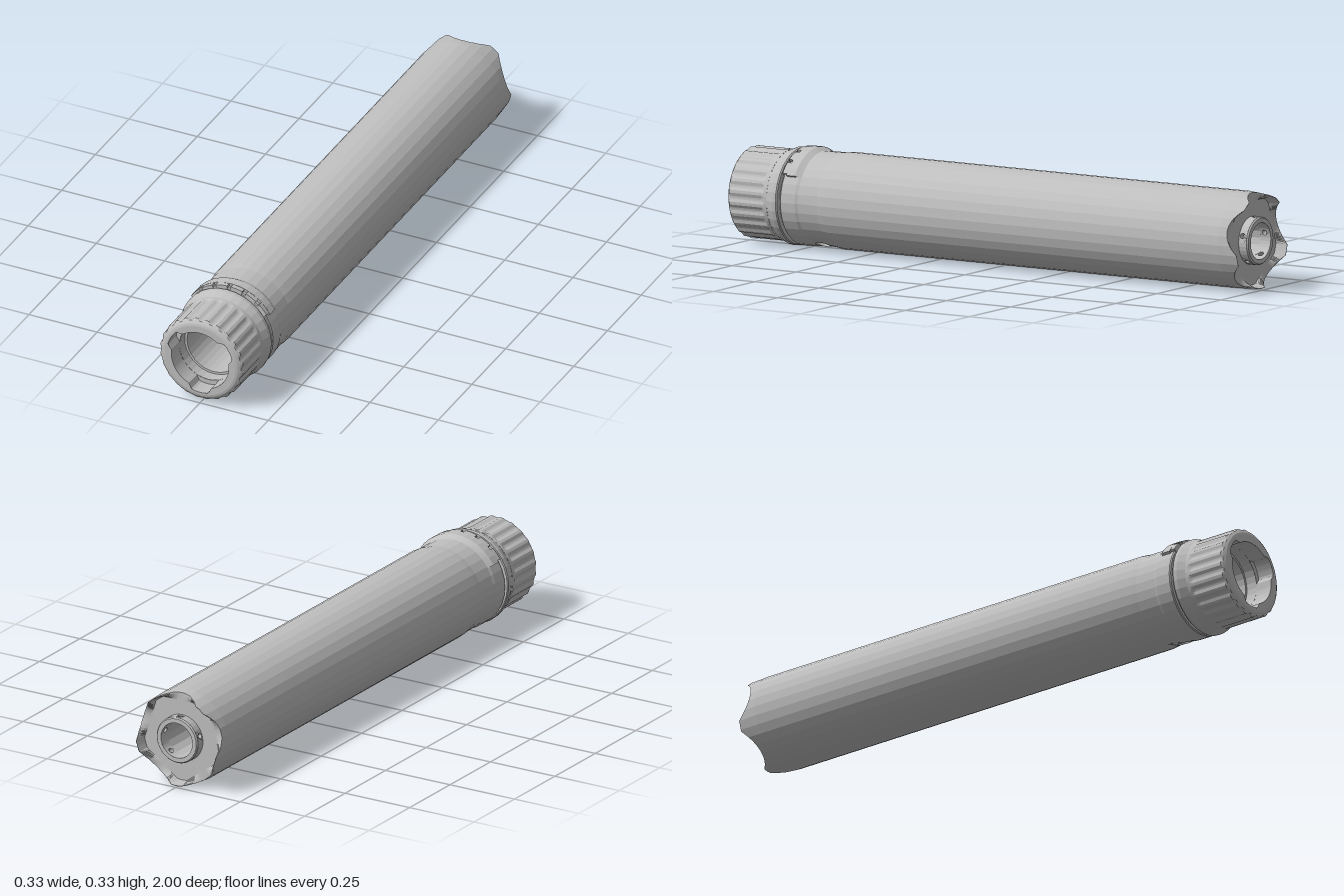
import * as THREE from 'three';
import { toCreasedNormals, mergeGeometries } from 'three/addons/utils/BufferGeometryUtils.js';

const TAU = Math.PI * 2;
const SIDES = 32;
const rad = THREE.MathUtils.degToRad;

// Loft along z from sections [z or z(angle), radius or radius(angle)].
function loft(sections, n = SIDES, start = 0, length = TAU) {
  const pos = [], idx = [];
  for (const [z, r] of sections) {
    for (let j = 0; j <= n; j++) {
      const a = start + (length * j) / n;
      const rr = typeof r === 'function' ? r(a) : r;
      pos.push(rr * Math.cos(a), rr * Math.sin(a), typeof z === 'function' ? z(a) : z);
    }
  }
  for (let i = 0; i < sections.length - 1; i++) {
    for (let j = 0; j < n; j++) {
      const a = i * (n + 1) + j, b = a + n + 1;
      idx.push(a, a + 1, b + 1, a, b + 1, b);
    }
  }
  const g = new THREE.BufferGeometry();
  g.setAttribute('position', new THREE.Float32BufferAttribute(pos, 3));
  g.setIndex(idx);
  return toCreasedNormals(g, 0.15);
}

// Curved wall patch with a round hole, bent from a flat shape.
function holedPatch(r, z0, z1, angle, width, holeR) {
  const shape = new THREE.Shape(), steps = 4, half = (r * width) / 2;
  shape.moveTo(-half, z0);
  for (let i = 1; i <= steps; i++) shape.lineTo(-half + (2 * half * i) / steps, z0);
  for (let i = steps; i >= 0; i--) shape.lineTo(-half + (2 * half * i) / steps, z1);
  const hole = new THREE.Path();
  hole.absarc(0, (z0 + z1) / 2, holeR, 0, TAU, true);
  shape.holes.push(hole);
  const g = new THREE.ShapeGeometry(shape, 8);
  const p = g.attributes.position;
  for (let i = 0; i < p.count; i++) {
    const a = angle + p.getX(i) / r;
    p.setXYZ(i, r * Math.cos(a), r * Math.sin(a), p.getY(i));
  }
  g.deleteAttribute('uv');
  return toCreasedNormals(g, 0.3);
}

// Cylindrical wall pierced at the given evenly spaced angles.
function piercedWall(r, z0, z1, angles, width, holeR, n) {
  const parts = [], gap = TAU / angles.length - width;
  for (const a of angles) {
    parts.push(holedPatch(r, z0, z1, a, width, holeR));
    parts.push(loft([[z0, r], [z1, r]], n, a + width / 2, gap));
  }
  return mergeGeometries(parts);
}

// Angular distance to the nearest of `count` evenly spaced directions.
function nearest(a, count, offset) {
  const step = TAU / count;
  const t = (((a - offset) % step) + step) % step;
  return Math.min(t, step - t);
}

// Radius of a polygon with SIDES corners, so finer lofts meet the tube exactly.
const facet = (r) => (a) =>
  (r * Math.cos(Math.PI / SIDES)) / Math.cos(nearest(a, SIDES, Math.PI / SIDES));

export function createModel() {
  const metal = new THREE.MeshStandardMaterial({ color: 0xbebebe, side: THREE.DoubleSide });
  metal.name = 'grey metal';
  const model = new THREE.Group();
  model.name = 'tubeAssembly';
  const axis = new THREE.Group();
  axis.name = 'body';
  axis.position.y = 0.163;
  model.add(axis);

  const add = (name, geometry, parent = axis) => {
    const mesh = new THREE.Mesh(geometry, metal);
    mesh.name = name;
    parent.add(mesh);
  };

  // Radial tube lining a drilled hole
  const drill = (name, angle, r0, r1, z, holeR, floor) => {
    const holder = new THREE.Group();
    holder.name = name;
    holder.position.set(Math.cos(angle) * (r0 + r1) / 2, Math.sin(angle) * (r0 + r1) / 2, z);
    holder.rotation.z = angle - Math.PI / 2;
    axis.add(holder);
    add('holeWall', new THREE.CylinderGeometry(holeR, holeR, r1 - r0, 16, 1, true), holder);
    if (floor) {
      const disc = new THREE.CircleGeometry(holeR, 16).rotateX(-Math.PI / 2);
      add('holeFloor', disc.translate(0, -(r1 - r0) / 2, 0), holder);
    }
  };

  // Main tube
  add('mainTube', loft([[-0.93, 0.161], [0.61, 0.161], [0.64, 0.157]]));

  // Neck with a drilled vent, low on the left side
  const vent = rad(-67.5);
  add('neck', piercedWall(0.157, 0.64, 0.715, [vent], rad(45), 0.025, 28));
  drill('ventHole', vent, 0.125, 0.156, 0.6775, 0.025, true);

  // Locking ring, gap and flared shoulder of the collar
  add('lockingRing', loft([
    [0.715, 0.157], [0.725, 0.16], [0.78, 0.16], [0.784, 0.157], [0.784, 0.142], [0.794, 0.142],
    [0.794, 0.16], [0.798, 0.163], [0.812, 0.163], [0.84, 0.152],
  ]));

  // Raised latch arc over the top, with ratchet teeth on its front edge
  const arcStart = rad(32), arcLength = rad(116);
  const arc = (z0, z1, r, ramp, start, length, n) => {
    const profile = [[z0, 0.158], [z0 + ramp, r], [z1, r], [z1, 0.145]];
    const ends = [start, start + length].map((a) => {
      const g = new THREE.PlaneGeometry(r - 0.145, z1 - z0 - ramp);
      g.rotateX(Math.PI / 2).translate((r + 0.145) / 2, 0, (z0 + z1 + ramp) / 2).rotateZ(a);
      g.deleteAttribute('uv');
      return g.toNonIndexed();
    });
    return mergeGeometries([loft(profile, n, start, length), ...ends]);
  };
  add('latchArc', arc(0.715, 0.768, 0.169, 0.02, arcStart, arcLength, 12));
  const teeth = 6, step = arcLength / teeth;
  for (let i = 0; i < teeth; i++) {
    add('latchTooth', arc(0.768, 0.785, 0.168, 0, arcStart + step * (i + 0.12), step * 0.76, 2));
  }

  // Fluted collar, front face with three keyed slots, and the socket
  const flute = (a) => {
    const d = nearest(a, 24, Math.PI / 2) / 0.075;
    return 0.152 - 0.005 * Math.sqrt(Math.max(0, 1 - d * d));
  };
  const key = (a) =>
    0.105 + 0.017 * THREE.MathUtils.smoothstep(0.42 - nearest(a, 3, -Math.PI / 2), 0, 0.2);
  add('flutedCollar', loft([
    [0.84, 0.152], [0.85, 0.152], [0.862, flute], [0.986, flute],
    [0.992, 0.146], [0.998, 0.137], [1, 0.129], [1, key],
  ], 192));
  add('keyedSocket', loft([[1, key], [0.94, key], [0.94, 0.105]], 96));
  add('socket', loft([
    [0.94, 0.105], [0.9, 0.105], [0.9, 0.097], [0.58, 0.097], [0.58, 0.061],
  ]));

  // Bore running the full length
  add('bore', loft([[0.58, 0.061], [-0.955, 0.061]], 16));

  // Rear crown: five scallops cut into the rim around a recessed face
  const scallop = (a) => Math.max(0, 1 - (nearest(a, 5, Math.PI / 2) / rad(29)) ** 2);
  const rimZ = (a) => -1 + 0.04 * scallop(a);
  add('scallopedCrown', loft([
    [-0.96, 0.08], [-0.96, (a) => 0.149 - 0.02 * scallop(a)],
    [rimZ, (a) => 0.156 - 0.004 * scallop(a)], [rimZ, facet(0.158)],
    [-0.945, facet(0.16)], [-0.93, facet(0.161)],
  ], 160));

  // Rear boss around the bore with five cross-drilled holes
  const angles = [0, 1, 2, 3, 4].map((i) => Math.PI / 2 + (i * TAU) / 5);
  add('bossOuterWall', piercedWall(0.08, -0.99, -0.955, angles, rad(32), 0.009, 4));
  add('bossInnerWall', piercedWall(0.061, -0.995, -0.95, angles, rad(32), 0.009, 4));
  add('bossLip', loft([[-0.995, 0.061], [-0.995, 0.076], [-0.99, 0.08]]));
  angles.forEach((a) => drill('bossHole', a, 0.06, 0.08, -0.9725, 0.009, false));

  return model;
}
